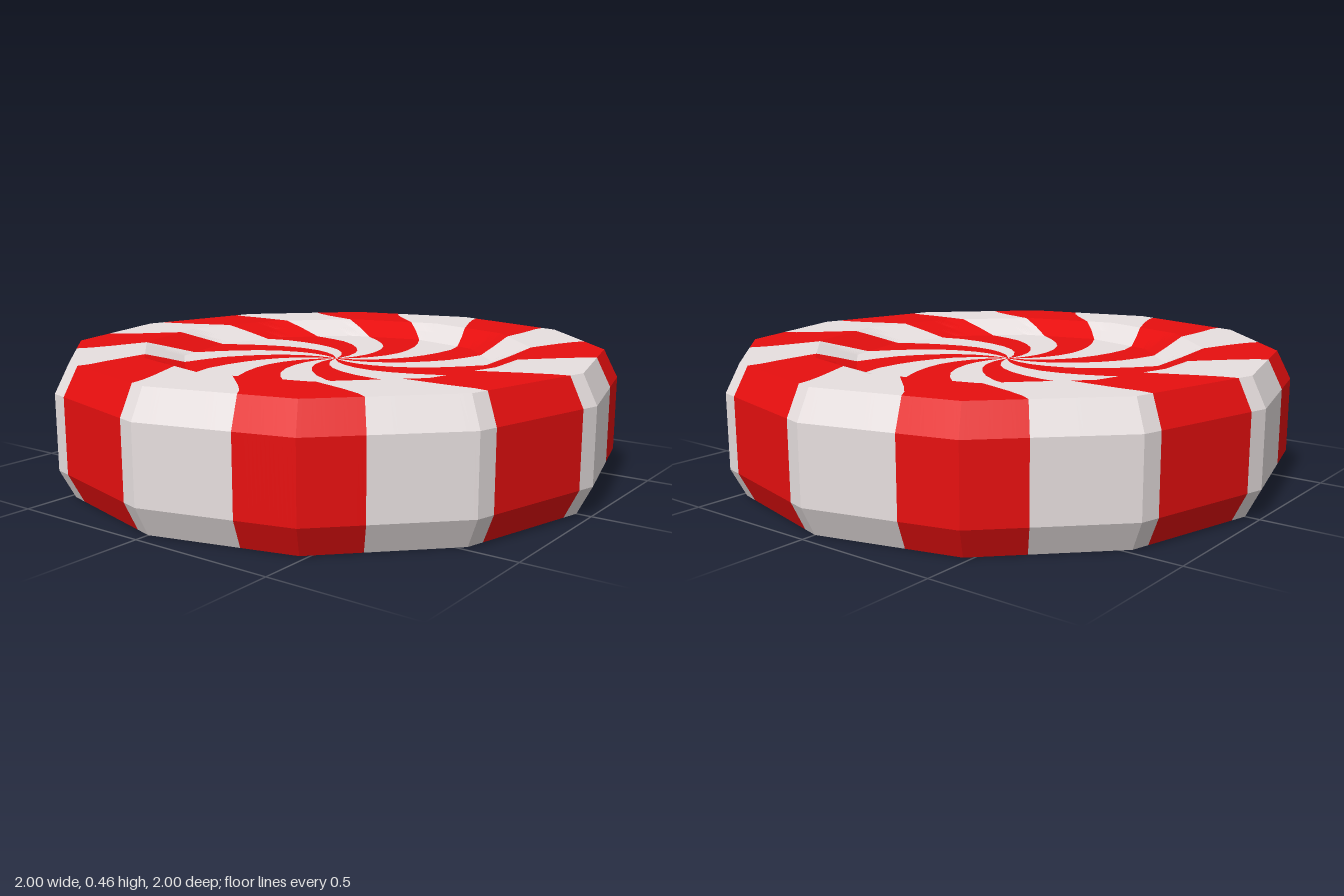
import * as THREE from 'three';

const SIDES = 12, STRIPES = 16, COLUMNS = 30; // columns per stripe, 0.75 degrees each
const HEIGHT = 0.455, RIM = 0.95, DISH = 0.05;
const rad = THREE.MathUtils.degToRad;

// Half profile from the dish centre to the widest edge: [radius, inset below the face]
const swirlRadii = [0, 0.03, 0.08, 0.14, 0.2, 0.27, 0.34, 0.41, 0.48, 0.56, 0.63, 0.7, 0.76, 0.83, 0.9, RIM];
const half = swirlRadii.map((r) => [r, DISH * THREE.MathUtils.clamp((0.7 - r) / 0.14, 0, 1)]);
half.push([1, 0.098]);
const profile = [
  ...half.map(([r, d]) => [r, HEIGHT - d]),
  ...half.slice().reverse(),
];

// Stripes wind clockwise towards the centre and run straight down the sides
const twist = (r) => -75 * Math.pow(Math.max(0, 1 - r / RIM), 1.5);

// Point on a twelve-sided ring whose corners lie at the given radius
function ringPoint([r, y], degrees) {
  const angle = degrees + twist(r);
  const step = 360 / SIDES;
  const local = THREE.MathUtils.euclideanModulo(angle, step) - step / 2;
  const d = r * Math.cos(rad(step / 2)) / Math.cos(rad(local));
  return [d * Math.cos(rad(angle)), y, -d * Math.sin(rad(angle))];
}

// All stripes of one colour, wrapped over the top, sides and underside
function stripes(name, first, material) {
  const positions = [];
  const width = 360 / STRIPES;
  for (let s = first; s < STRIPES; s += 2) {
    for (let i = 0; i < COLUMNS; i++) {
      const a0 = -3.75 + width * (s + i / COLUMNS);
      const a1 = a0 + width / COLUMNS;
      for (let j = 0; j < profile.length - 1; j++) {
        const [p, q] = [profile[j], profile[j + 1]];
        const a = ringPoint(p, a0), b = ringPoint(q, a0);
        const c = ringPoint(q, a1), d = ringPoint(p, a1);
        if (q[0] > 0) positions.push(...a, ...b, ...c);
        if (p[0] > 0) positions.push(...a, ...c, ...d);
      }
    }
  }
  const geometry = new THREE.BufferGeometry();
  geometry.setAttribute('position', new THREE.Float32BufferAttribute(positions, 3));
  geometry.computeVertexNormals(); // unshared corners give flat facets
  const mesh = new THREE.Mesh(geometry, material);
  mesh.name = name;
  return mesh;
}

export function createModel() {
  const white = new THREE.MeshStandardMaterial({ color: 0xf0e8e8 });
  white.name = 'sugar white';
  const red = new THREE.MeshStandardMaterial({ color: 0xf01010 });
  red.name = 'candy red';

  const candy = new THREE.Group();
  candy.name = 'peppermintCandy';
  candy.add(stripes('whiteStripes', 0, white), stripes('redStripes', 1, red));
  return candy;
}
